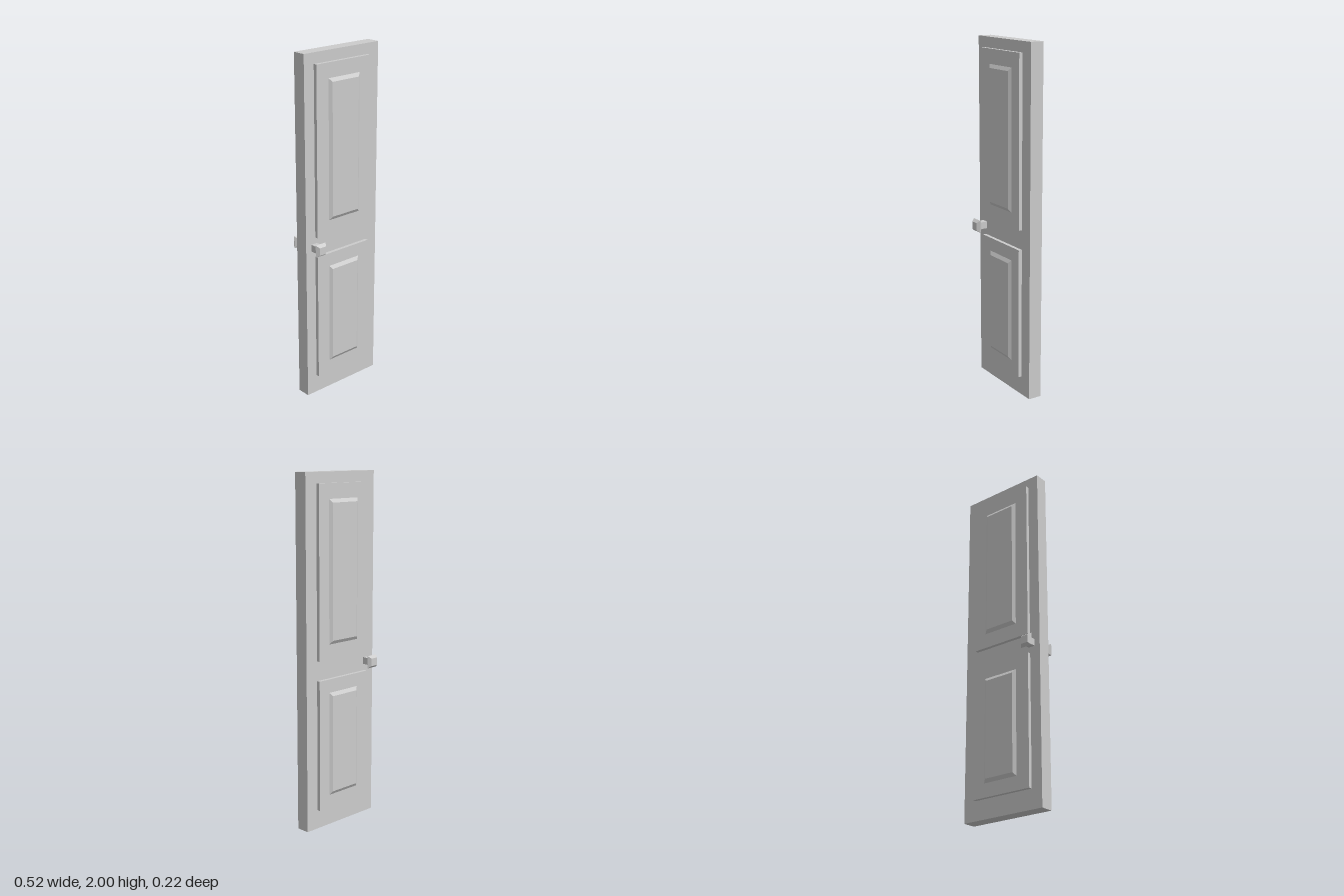
import * as THREE from 'three';

const material = new THREE.MeshStandardMaterial({ color: 0xcccccc, flatShading: true });

function add(parent, name, geometry, x, y, z) {
  const mesh = new THREE.Mesh(geometry, material);
  mesh.name = name;
  mesh.position.set(x, y, z);
  parent.add(mesh);
  return mesh;
}

// Box whose +z face is inset to make a bevelled raised field
function raisedField(width, height, depth, insetX, insetY) {
  const geometry = new THREE.BoxGeometry(width, height, depth);
  const p = geometry.attributes.position;
  for (let i = 0; i < p.count; i++) {
    if (p.getZ(i) > 0) {
      p.setX(i, p.getX(i) - Math.sign(p.getX(i)) * insetX);
      p.setY(i, p.getY(i) - Math.sign(p.getY(i)) * insetY);
    }
  }
  geometry.computeVertexNormals();
  return geometry;
}

export function createModel() {
  const model = new THREE.Group();
  model.name = 'door';

  // Door leaf, standing very slightly ajar
  const leaf = new THREE.Group();
  leaf.name = 'doorLeaf';
  leaf.rotation.y = -0.0135;
  leaf.position.z = -0.0015;
  model.add(leaf);
  add(leaf, 'slab', new THREE.BoxGeometry(0.522, 2, 0.078), 0, 1, 0);

  // Panels run through the slab; each has a raised field front and back
  const panels = [
    { name: 'upper', y0: 0.978, y1: 1.94, f0: 1.063, f1: 1.858 },
    { name: 'lower', y0: 0.11, y1: 0.866, f0: 0.187, f1: 0.79 },
  ];
  for (const { name, y0, y1, f0, f1 } of panels) {
    add(leaf, name + 'Panel', new THREE.BoxGeometry(0.377, y1 - y0, 0.119), -0.0065, (y0 + y1) / 2, 0);
    for (const side of [1, -1]) {
      const field = add(leaf, name + (side > 0 ? 'Front' : 'Back') + 'Field',
        raisedField(0.222, f1 - f0, 0.0135, 0.018, 0.021),
        -0.002, (f0 + f1) / 2, side * 0.0655);
      if (side < 0) field.rotation.y = Math.PI;
    }
  }

  // Square knobs on stems, one per side
  const profile = [[0, 0], [0.02, 0], [0.02, 0.075], [0.036, 0.091], [0.022, 0.11], [0, 0.11]]
    .map(([r, h]) => new THREE.Vector2(r * Math.SQRT2, h));
  for (const side of [1, -1]) {
    const knob = add(model, side > 0 ? 'frontKnob' : 'backKnob',
      new THREE.LatheGeometry(profile, 4, Math.PI / 4), -0.205, 0.923, -0.001);
    knob.rotation.x = side * Math.PI / 2;
  }
  return model;
}
